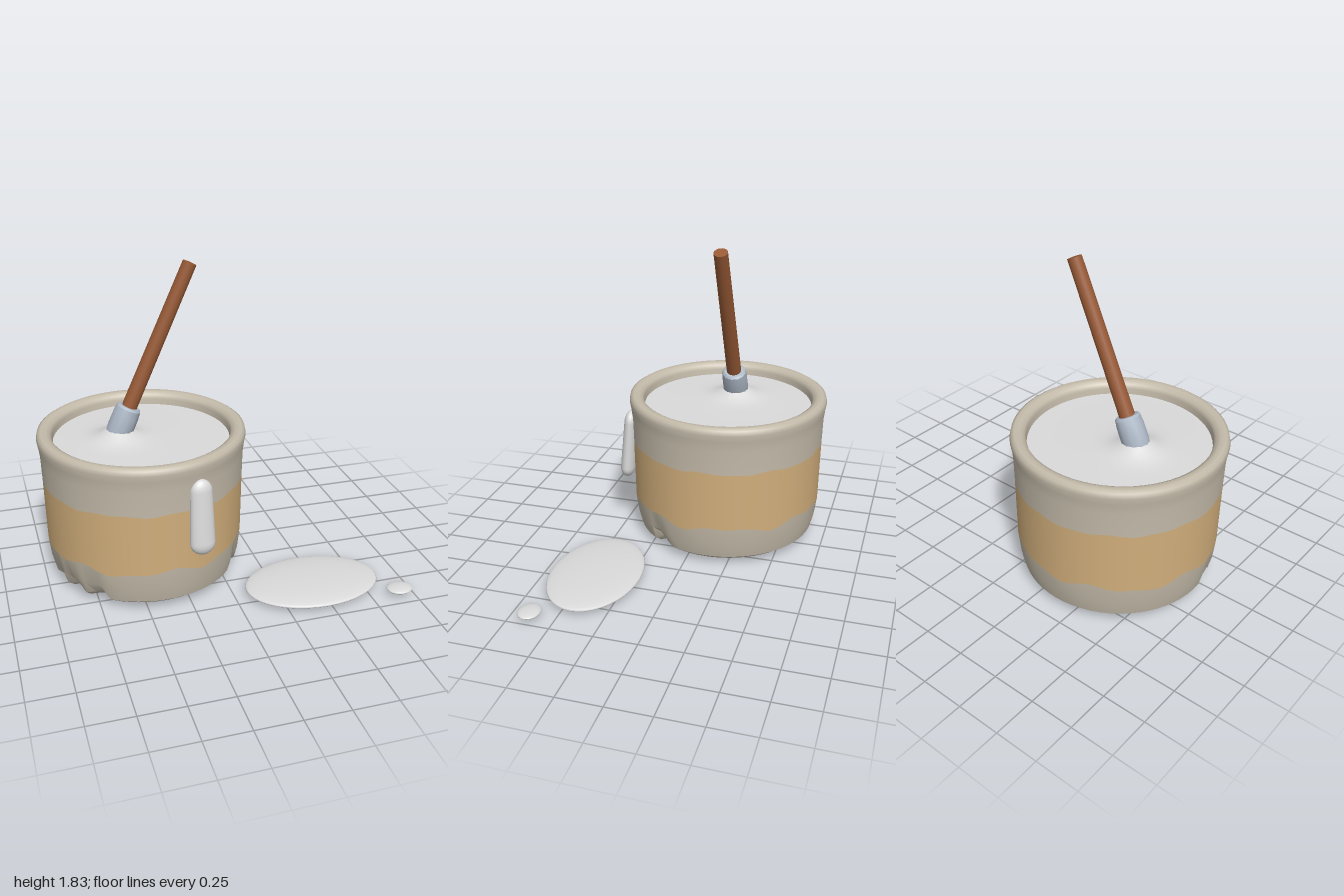
import * as THREE from 'three';
import { toCreasedNormals } from 'three/addons/utils/BufferGeometryUtils.js';

const mat = (name, color) => {
  const m = new THREE.MeshStandardMaterial({ color });
  m.name = name;
  return m;
};

// Uneven borders of the painted band, by angle around the bucket
const topEdge = (a) => 0.613 + 0.005 * Math.sin(9 * a) + 0.004 * Math.sin(17 * a + 1);
const lowEdge = (a) => 0.25 + 0.014 * Math.sin(7 * a + 1.5) + 0.01 * Math.sin(13 * a);

export function createModel() {
  const stone = mat('stone', 0xc4bbaa);
  const tan = mat('tan band', 0xd2af7c);
  const paint = mat('white paint', 0xdadada);
  const wood = mat('brown wood', 0x985a36);
  const metal = mat('grey metal', 0xafbac8);

  const model = new THREE.Group();
  const add = (parent, name, geometry, material) => {
    const mesh = new THREE.Mesh(geometry, material);
    mesh.name = name;
    parent.add(mesh);
    return mesh;
  };

  // Revolve a profile and pass each vertex (with its angle) through a rule
  const turned = (points, rule, segments = 64) => {
    const g = new THREE.LatheGeometry(points.map((p) => new THREE.Vector2(...p)), segments, Math.PI);
    const pos = g.attributes.position;
    const v = new THREE.Vector3();
    for (let i = 0; rule && i < pos.count; i++) {
      v.fromBufferAttribute(pos, i);
      rule(v, Math.atan2(v.x, v.z));
      pos.setXYZ(i, v.x, v.y, v.z);
    }
    return g;
  };

  // Bucket
  const bucket = new THREE.Group();
  bucket.name = 'bucket';
  bucket.position.set(-0.4, 0, -0.12);
  model.add(bucket);

  // Base with chipped lower edge
  const chips = [[-1.3, 0.07], [-1.05, 0.09], [-0.72, 0.1], [1.0, 0.11]];
  const base = turned(
    [[0, 0.025], [0.25, 0.025], [0.5, 0.03], [0.54, 0.06], [0.56, 0.14], [0.572, 0.25]],
    (v, a) => {
      if (v.y > 0.24) { v.y = lowEdge(a); return; }
      const r = Math.hypot(v.x, v.z);
      if (r < 0.4) return;
      const fade = v.y < 0.1 ? 1 : 0.25;
      for (const [at, depth] of chips) {
        const k = Math.max(0, 1 - Math.abs(a - at) / 0.12) * depth * fade;
        v.x *= 1 - k;
        v.z *= 1 - k;
        v.y += k * 0.25;
      }
    });
  add(bucket, 'bucketBase', toCreasedNormals(base, 0.6), stone);

  add(bucket, 'paintedBand', turned([[0.572, 0.25], [0.58, 0.61]],
    (v, a) => { v.y = v.y > 0.4 ? topEdge(a) : lowEdge(a); }), tan);

  add(bucket, 'bucketRim', turned(
    [[0.58, 0.61], [0.585, 0.76], [0.592, 0.82], [0.6, 0.86], [0.594, 0.888], [0.575, 0.9],
      [0.545, 0.898], [0.52, 0.884], [0.51, 0.86], [0.505, 0.78]],
    (v, a) => { if (v.y < 0.62) v.y = topEdge(a); }), stone);

  // Paint surface, rising where the brush stands in it
  const surface = turned(
    Array.from({ length: 21 }, (_, i) => [0.525 * (1 - i / 20), 0.825]),
    (v) => {
      const d = Math.hypot(v.x + 0.13, v.z + 0.02);
      v.y += 0.075 * Math.exp(-((d / 0.11) ** 2)) + 0.012 * Math.exp(-((d / 0.3) ** 2));
    });
  surface.computeVertexNormals();
  add(bucket, 'paintSurface', surface, paint);

  // Brush, leaning towards +x
  const brush = new THREE.Group();
  brush.name = 'brush';
  brush.position.set(-0.463, 1.01, -0.14);
  brush.rotation.z = -Math.atan2(0.365, 0.81);
  model.add(brush);

  const handle = new THREE.CylinderGeometry(0.04, 0.044, 0.9, 20);
  handle.translate(0, 0.44, 0);
  add(brush, 'brushHandle', handle, wood);

  const ferrule = turned(
    [[0.068, -0.22], [0.078, -0.14], [0.077, -0.05], [0.072, -0.005], [0.06, 0.006], [0, 0.006]], null, 12);
  add(brush, 'brushFerrule', toCreasedNormals(ferrule, 0.7), metal);

  // Paint drip on the front wall, wider and fuller near its lower end
  const dripShape = new THREE.CapsuleGeometry(0.07, 0.3, 10, 24, 8);
  const p = dripShape.attributes.position;
  for (let i = 0; i < p.count; i++) {
    const w = 0.97 - 0.45 * p.getY(i);
    p.setX(i, p.getX(i) * w);
    p.setZ(i, p.getZ(i) * w * 0.62);
  }
  dripShape.computeVertexNormals();
  const drip = add(model, 'paintDrip', dripShape, paint);
  drip.position.set(-0.2, 0.57, 0.452);
  drip.rotation.x = -0.08;
  drip.rotation.y = 0.1;

  // Spilled paint on the ground
  const spills = [
    ['puddle', 0.462, 0.036, 0.437, 0.396, 0.032, 0.263],
    ['droplet', 0.922, 0.035, 0.645, 0.075, 0.016, 0.063],
  ];
  for (const [name, x, y, z, rx, ry, rz] of spills) {
    const g = new THREE.SphereGeometry(1, 40, 20);
    g.scale(rx, ry, rz);
    add(model, name, g, paint).position.set(x, y, z);
  }
  model.position.y = -0.004;
  return model;
}
